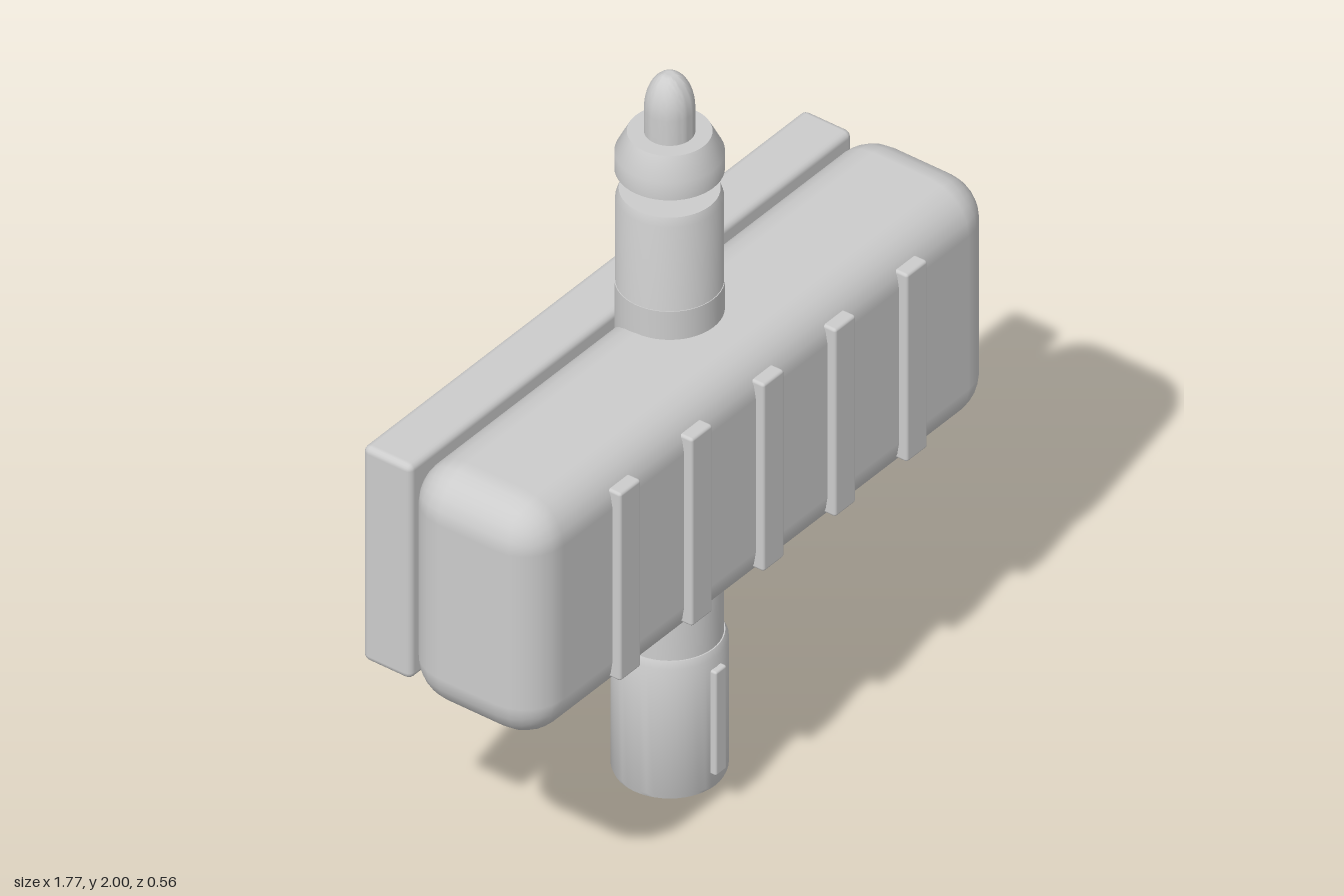
import * as THREE from 'three';
import { toCreasedNormals } from 'three/addons/utils/BufferGeometryUtils.js';
import { RoundedBoxGeometry } from 'three/addons/geometries/RoundedBoxGeometry.js';

const AXIS_Z = -0.027; // centre line of the pen

export function createModel() {
  const group = new THREE.Group();
  const grey = new THREE.MeshStandardMaterial({ color: 0xcccccc });
  grey.name = 'light grey';

  const add = (name, geometry, x, y, z) => {
    const mesh = new THREE.Mesh(geometry, grey);
    mesh.name = name;
    mesh.position.set(x, y, z);
    group.add(mesh);
  };

  // Turned part: profile of [radius, y] from bottom to top
  const turned = (name, profile) => {
    const points = profile.map(([r, y]) => new THREE.Vector2(r, y));
    add(name, toCreasedNormals(new THREE.LatheGeometry(points, 48), 0.55), 0, 0, AXIS_Z);
  };

  // Box given by its limits
  const block = (name, [x0, x1], [y0, y1], [z0, z1], radius, segments) => {
    const geometry = new RoundedBoxGeometry(x1 - x0, y1 - y0, z1 - z0, segments, radius);
    add(name, geometry, (x0 + x1) / 2, (y0 + y1) / 2, (z0 + z1) / 2);
  };

  // Pen: cap, barrel, sleeve, collar and nib
  turned('cap', [[0, 0], [0.134, 0], [0.138, 0.01], [0.138, 0.375], [0.13, 0.393], [0, 0.393]]);
  turned('barrel', [[0, 0.3], [0.127, 0.3], [0.127, 1.645], [0.119, 1.668], [0, 1.668]]);
  turned('sleeve', [[0.126, 0.588], [0.129, 0.588], [0.129, 1.403], [0.126, 1.403]]);
  turned('collar', [[0, 1.725], [0.129, 1.725], [0.129, 1.775], [0.1, 1.832], [0, 1.832]]);
  const nib = [[0, 1.8], [0.06, 1.8]];
  for (let i = 0; i <= 10; i++) {
    const a = (i / 10) * Math.PI / 2;
    nib.push([0.06 * Math.cos(a), 1.9 + 0.1 * Math.sin(a)]);
  }
  turned('nib', nib);
  block('capClip', [-0.021, 0.021], [0.045, 0.345], [0.08, 0.126], 0.006, 2);

  // Eraser: grip body, felt pad and front ribs
  block('eraserBody', [-0.885, 0.885], [0.65, 1.322], [-0.14, 0.258], 0.115, 3);
  block('feltPad', [-0.842, 0.842], [0.677, 1.296], [-0.282, -0.139], 0.018, 2);
  for (let i = -2; i <= 2; i++) {
    const x = i * 0.2725;
    block('gripRib', [x - 0.04, x + 0.04], [0.716, 1.258], [0.24, 0.281], 0.008, 2);
  }

  return group;
}
